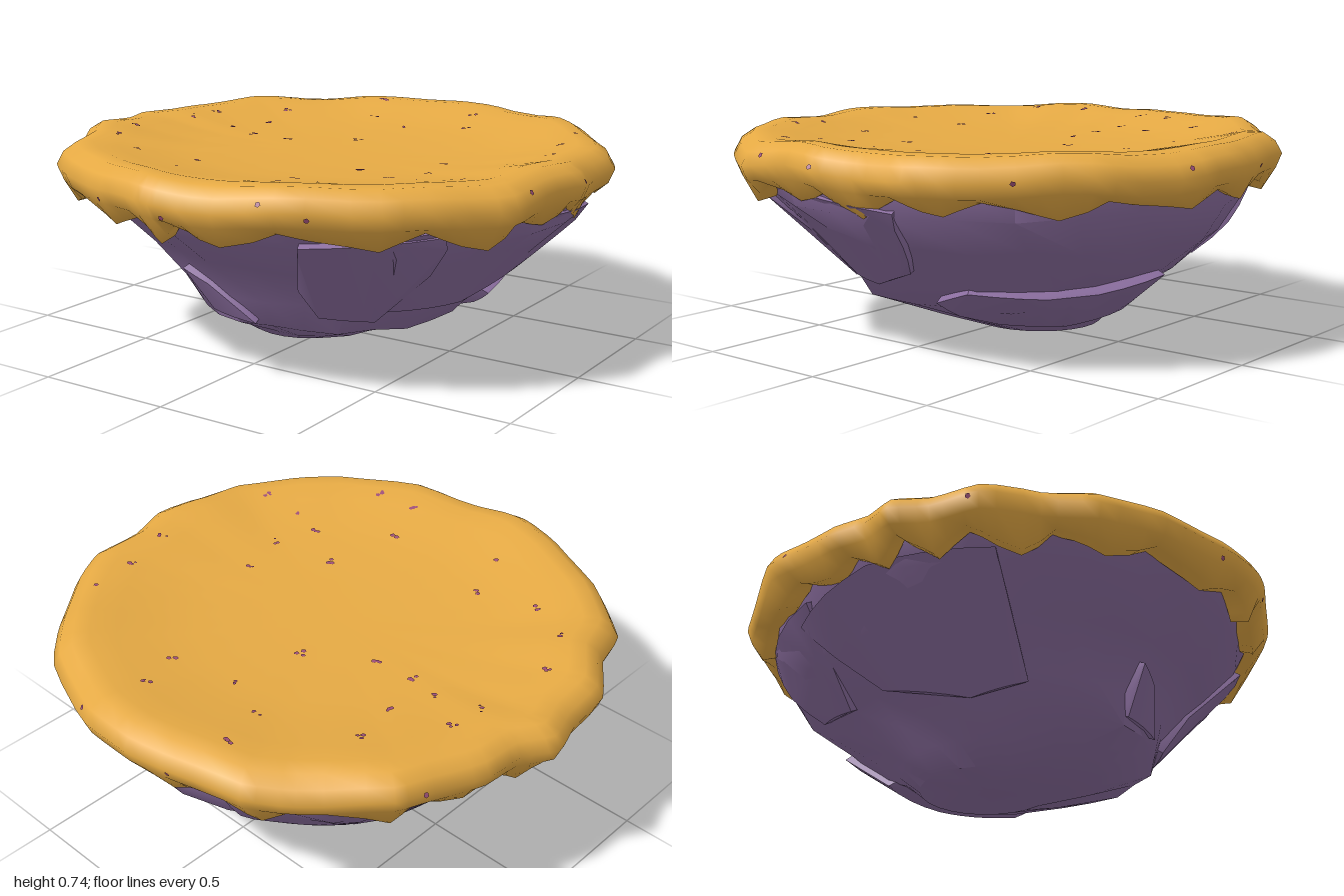
import * as THREE from 'three';
import { toCreasedNormals } from 'three/addons/utils/BufferGeometryUtils.js';
import { ConvexGeometry } from 'three/addons/geometries/ConvexGeometry.js';

const gold = new THREE.MeshStandardMaterial({ color: 0xe6aa44 });
gold.name = 'golden turf';
const purple = new THREE.MeshStandardMaterial({ color: 0x8a6d9e });
purple.name = 'purple rock';
const mauve = new THREE.MeshStandardMaterial({ color: 0x9c4f78 });
mauve.name = 'mauve flecks';

// Small seeded random generator
function seeded(seed) {
  return () => {
    seed = (seed * 16807) % 2147483647;
    return seed / 2147483647;
  };
}

// Skin over closed rings of equal length, ordered from top to bottom
function loft(rings) {
  const n = rings[0].length;
  const index = [];
  for (let j = 0; j < rings.length - 1; j++) {
    for (let i = 0; i < n; i++) {
      const k = (i + 1) % n;
      const a = j * n + i, b = j * n + k, c = a + n, d = b + n;
      index.push(a, b, c, b, d, c);
    }
  }
  const g = new THREE.BufferGeometry();
  g.setAttribute('position', new THREE.Float32BufferAttribute(rings.flat(2), 3));
  g.setIndex(index);
  g.computeVertexNormals();
  return g;
}

// Rock cross-sections: height, centre x, centre z, radius x, radius z
const SECTIONS = [
  [0, -0.12, -0.04, 0.23, 0.24],
  [0.07, -0.06, -0.02, 0.36, 0.36],
  [0.15, 0.02, 0.01, 0.5, 0.51],
  [0.25, 0.02, -0.035, 0.59, 0.59],
  [0.4, 0.035, -0.06, 0.735, 0.75],
  [0.53, 0.045, -0.025, 0.87, 0.86],
  [0.64, 0.03, 0, 0.895, 0.895],
];

// Point on the bowl at an angle and height, pushed out by a distance
function rockPoint(deg, y, out = 0) {
  let i = 0;
  while (i < SECTIONS.length - 2 && y > SECTIONS[i + 1][0]) i++;
  const a = SECTIONS[i], b = SECTIONS[i + 1];
  const f = (y - a[0]) / (b[0] - a[0]);
  const [, cx, cz, rx, rz] = a.map((v, k) => v + (b[k] - v) * f);
  const t = THREE.MathUtils.degToRad(deg);
  return [cx + (rx + out) * Math.cos(t), Math.max(0, y - out * 0.5), cz + (rz + out) * Math.sin(t)];
}

function buildRock() {
  const group = new THREE.Group();
  group.name = 'rock';
  const rand = seeded(41);
  const sides = 26;

  // Main uneven bowl
  const rings = [0.64, 0.53, 0.4, 0.25, 0.15, 0.07, 0].map((y) => {
    const amount = y > 0.6 || y === 0 ? 0 : 0.025;
    return Array.from({ length: sides }, (_, i) =>
      rockPoint((i / sides) * 360, y, (rand() - 0.6) * amount));
  });
  rings.push(Array.from({ length: sides }, () => [-0.12, 0, -0.04]));
  const body = new THREE.Mesh(toCreasedNormals(loft(rings), 0.9), purple);
  body.name = 'rockBody';
  group.add(body);

  // Overlapping slabs: outlines as [angle, height] on the bowl
  const slabs = [
    [[67, 0.54], [70, 0.34], [64, 0.22], [44, 0.2], [36, 0.4], [36, 0.57]],
    [[42, 0.24], [12, 0.23], [-8, 0.31], [-16, 0.55], [20, 0.6], [48, 0.58]],
    [[-14, 0.2], [-25, 0.25], [-60, 0.22], [-95, 0.27], [-100, 0.1], [-60, 0.06], [-30, 0.09]],
    [[112, 0.34], [103, 0.3], [88, 0.17], [110, 0.18]],
    [[160, 0.56], [190, 0.57], [215, 0.5], [200, 0.25], [172, 0.18], [150, 0.22]],
    [[-112, 0.55], [-118, 0.3], [-140, 0.25], [-150, 0.55]],
  ];
  slabs.forEach((outline, s) => {
    const points = [];
    outline.forEach(([deg, y], i) => {
      const [deg2, y2] = outline[(i + 1) % outline.length];
      for (let f = 0; f < 1; f += 0.25) {
        const at = [deg + (deg2 - deg) * f, y + (y2 - y) * f];
        points.push(new THREE.Vector3(...rockPoint(...at, s === 2 ? 0.022 : 0.012)));
        points.push(new THREE.Vector3(...rockPoint(...at, -0.08)));
      }
    });
    const slab = new THREE.Mesh(toCreasedNormals(new ConvexGeometry(points), 0.6), purple);
    slab.name = 'rockSlab' + (s + 1);
    group.add(slab);
  });
  return group;
}

// Turf profile from the dished centre over the lip: fraction of outline radius, height
const PROFILE = [
  [0, 0.67], [0.25, 0.672], [0.5, 0.68], [0.65, 0.697], [0.78, 0.72], [0.87, 0.736],
  [0.93, 0.734], [0.975, 0.705], [1, 0.66], [0.98, 0.61],
];
const OUTLINE = [
  [1, 0], [0.96, 0.2], [0.95, 0.38], [0.82, 0.57], [0.67, 0.73], [0.38, 0.9], [0.1, 0.96],
  [-0.02, 0.985], [-0.1, 0.985], [-0.3, 0.93], [-0.57, 0.8], [-0.77, 0.64], [-0.83, 0.46],
  [-0.95, 0.29], [-0.96, 0.12], [-1, -0.01], [-0.935, -0.13], [-0.92, -0.27], [-0.85, -0.45],
  [-0.8, -0.58], [-0.57, -0.78], [-0.43, -0.89], [-0.2, -0.95], [0, -0.99], [0.21, -0.98],
  [0.53, -0.86], [0.7, -0.7], [0.87, -0.5], [0.95, -0.35], [0.96, -0.15],
];

function buildTurf() {
  const curve = new THREE.CatmullRomCurve3(
    OUTLINE.map(([x, z]) => new THREE.Vector3(x, 0, z)), true, 'catmullrom', 0.2);
  const edge = curve.getPoints(OUTLINE.length * 3).slice(0, -1);
  const rand = seeded(97);
  // Broad uneven drips along the lower fringe, gentle waves along the crest
  const sizes = Array.from({ length: edge.length / 5 }, () => 0.04 + 0.045 * rand());
  const drip = edge.map((_, i) => 0.59 - [0, 0.55, 1, 0.7, 0.35][i % 5] * sizes[Math.floor(i / 5)]);
  const wave = edge.map((p) => {
    const a = Math.atan2(p.z, p.x);
    return 0.009 * Math.sin(a * 7 + 1) + 0.007 * Math.sin(a * 12);
  });
  const rings = PROFILE.map(([r, y]) =>
    edge.map((p, i) => [p.x * r, y + wave[i] * r ** 6, p.z * r]));
  rings.push(edge.map((p, i) => [p.x * 0.935, drip[i], p.z * 0.935]));
  rings.push(edge.map((p, i) => [p.x * 0.87, drip[i] + 0.015, p.z * 0.87]));
  const turf = new THREE.Mesh(loft(rings), gold);
  turf.name = 'turf';
  return turf;
}

// Flecks on the top: x, z
const TOP_FLECKS = [
  [-0.27, -0.79], [0.17, -0.75], [-0.2, -0.6], [-0.02, -0.52], [0.23, -0.58], [-0.54, -0.45],
  [-0.5, -0.27], [-0.72, -0.22], [-0.05, -0.23], [-0.43, -0.08], [-0.27, -0.1], [0.75, -0.32],
  [0.81, -0.12], [0.47, 0.02], [0.52, 0.2], [0.28, 0.25], [0.46, 0.36], [0.58, 0.39],
  [-0.76, 0.22], [-0.69, 0.41], [-0.26, 0.46], [-0.5, 0.51], [0.21, 0.53], [-0.2, 0.66],
  [0.27, 0.71], [0.42, 0.69], [0.74, 0.38], [-0.73, -0.09], [-0.55, -0.12], [0.71, -0.5],
];
// Flecks around the rim: angle, height
const RIM_FLECKS = [
  [90, 0.62], [70, 0.69], [61, 0.65], [109, 0.63], [17, 0.69], [0, 0.68], [-40, 0.66],
  [-75, 0.68], [-100, 0.65], [-150, 0.67], [165, 0.66],
];

function buildFlecks(turf) {
  const group = new THREE.Group();
  group.name = 'flecks';
  const rand = seeded(13);
  const ray = new THREE.Raycaster();
  const forward = new THREE.Vector3(0, 0, 1);

  // Lay one flat fleck where a ray meets the turf
  function lay(origin, direction, radius) {
    ray.set(origin, direction);
    const hit = ray.intersectObject(turf)[0];
    const fleck = new THREE.Mesh(new THREE.CircleGeometry(radius, 5), mauve);
    fleck.name = 'fleck';
    fleck.quaternion.setFromUnitVectors(forward, hit.face.normal);
    fleck.position.copy(hit.point).addScaledVector(hit.face.normal, 0.004);
    group.add(fleck);
  }
  // Each top cluster is a few small flecks close together
  for (const [x, z] of TOP_FLECKS) {
    for (let i = 0; i < 3; i++) {
      const origin = new THREE.Vector3(x + (rand() - 0.5) * 0.03, 2, z + (rand() - 0.5) * 0.03);
      lay(origin, new THREE.Vector3(0, -1, 0), 0.005 + 0.006 * rand());
    }
  }
  for (const [deg, y] of RIM_FLECKS) {
    const t = THREE.MathUtils.degToRad(deg);
    const inward = new THREE.Vector3(-Math.cos(t), 0, -Math.sin(t));
    lay(new THREE.Vector3(0, y, 0).addScaledVector(inward, -2), inward, 0.01);
  }
  return group;
}

export function createModel() {
  const model = new THREE.Group();
  model.name = 'floatingIsland';
  const turf = buildTurf();
  model.add(buildRock(), turf, buildFlecks(turf));
  return model;
}
